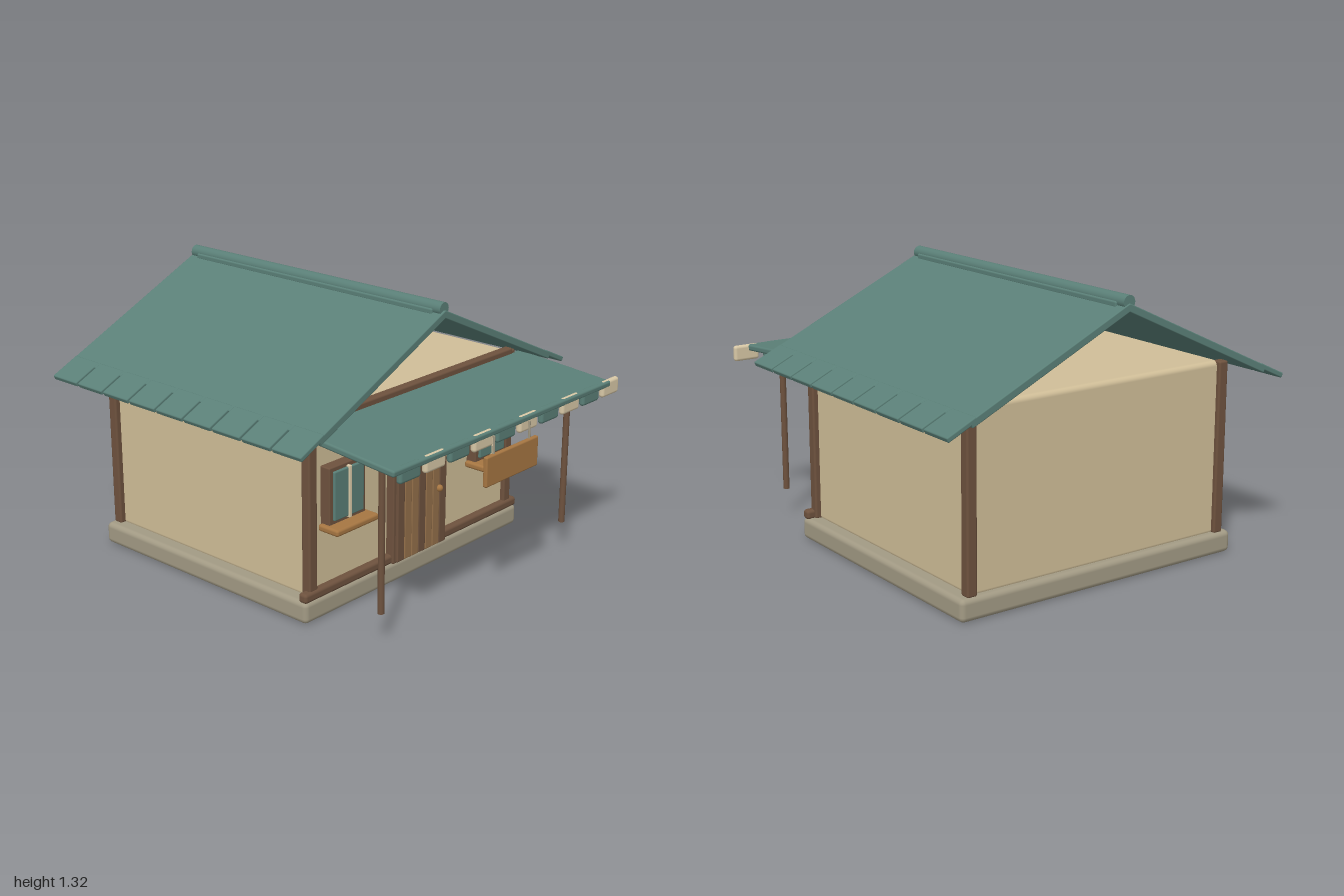
import * as THREE from 'three';
import { RoundedBoxGeometry } from 'three/addons/geometries/RoundedBoxGeometry.js';

const mat = (name, color) => {
  const m = new THREE.MeshStandardMaterial({ color });
  m.name = name;
  return m;
};

export function createModel() {
  const teal = mat('teal tile', 0x5a7f77);
  const plaster = mat('plaster', 0xd0be98);
  const cream = mat('cream cloth', 0xd8c8a6);
  const darkWood = mat('dark wood', 0x6e523e);
  const midWood = mat('plank wood', 0x94704a);
  const warmWood = mat('warm wood', 0xa67642);
  const stone = mat('stone', 0xa29a84);

  const model = new THREE.Group();
  model.name = 'house';

  const add = (name, geometry, material, x, y, z, parent = model) => {
    const mesh = new THREE.Mesh(geometry, material);
    mesh.name = name;
    mesh.position.set(x, y, z);
    parent.add(mesh);
    return mesh;
  };
  // Bevelled box given by its limits on each axis
  const box = (name, material, [x0, x1], [y0, y1], [z0, z1], r = 0.006, parent = model) =>
    add(name, new RoundedBoxGeometry(x1 - x0, y1 - y0, z1 - z0, 2, r), material,
      (x0 + x1) / 2, (y0 + y1) / 2, (z0 + z1) / 2, parent);

  // Base and walls
  box('foundation', stone, [-0.763, 0.763], [0, 0.105], [-0.86, 0.475], 0.025);
  box('walls', plaster, [-0.695, 0.695], [0.09, 0.92], [-0.825, 0.44], 0.025);

  // Timber frame
  for (const x of [-0.696, 0.696]) {
    for (const z of [-0.82, 0.437]) {
      box('cornerPost', darkWood, [x - 0.026, x + 0.026], [0.1, 0.92], [z - 0.025, z + 0.025], 0.01);
    }
    add('porchPost', new THREE.CylinderGeometry(0.015, 0.015, 0.72, 12), darkWood,
      Math.sign(x) * 0.66, 0.5, 0.815);
  }
  box('sillBeam', darkWood, [-0.76, 0.76], [0.098, 0.144], [0.425, 0.473], 0.015);
  box('topBeam', darkWood, [-0.698, 0.698], [0.885, 0.93], [0.42, 0.465], 0.01);

  // Door with seven planks, every third one dark
  const door = new THREE.Group();
  door.name = 'door';
  model.add(door);
  box('doorFrame', darkWood, [-0.192, 0.186], [0.1, 0.7], [0.43, 0.483], 0.006, door);
  for (let i = 0; i < 7; i++) {
    const x = -0.152 + i * 0.0497;
    box('doorPlank', i % 3 ? midWood : darkWood, [x - 0.024, x + 0.024],
      [0.108, 0.685], [0.465, 0.496], 0.005, door);
  }
  add('doorKnob', new THREE.SphereGeometry(0.017, 16, 12), warmWood, 0.115, 0.39, 0.499, door);

  // Windows
  for (const x of [-0.512, 0.508]) {
    const win = new THREE.Group();
    win.name = 'window';
    win.position.x = x;
    model.add(win);
    box('windowFrame', darkWood, [-0.116, 0.116], [0.425, 0.7], [0.43, 0.492], 0.006, win);
    box('windowPane', teal, [-0.095, 0.095], [0.452, 0.68], [0.48, 0.504], 0.006, win);
    box('windowBar', cream, [-0.008, 0.008], [0.445, 0.688], [0.49, 0.512], 0.004, win);
    box('windowSill', warmWood, [-0.136, 0.136], [0.404, 0.436], [0.44, 0.557], 0.012, win);
  }

  // Main roof: sloping slabs with a row of separate eave tiles on each side
  const tilt = Math.atan(0.465);
  for (const side of [-1, 1]) {
    const slope = new THREE.Group();
    slope.name = side > 0 ? 'leftRoofSlope' : 'rightRoofSlope';
    slope.position.set(0, 1.288, -0.195);
    slope.rotation.z = -side * tilt;
    model.add(slope);
    const span = (a, b) => (side > 0 ? [a, b] : [-b, -a]);
    box('roofSlab', teal, span(0, 0.895), [-0.034, 0], [-0.8, 0.8], 0.005, slope);
    for (let i = 0; i < 9; i++) {
      const z = (i - 4) * 0.179;
      box('eaveTile', teal, span(0.86, 1.017), [-0.022, 0.002], [z - 0.084, z + 0.084], 0.006, slope);
    }
  }
  const ridge = add('ridgeRoll', new THREE.CylinderGeometry(0.031, 0.031, 1.585, 20), teal, 0, 1.292, -0.197);
  ridge.rotation.x = Math.PI / 2;
  box('ridgeBase', teal, [-0.038, 0.038], [1.265, 1.293], [-0.945, 0.555], 0.008);

  // Porch awning
  const awning = box('awning', teal, [-0.777, 0.772], [-0.015, 0.015], [-0.265, 0.265], 0.01);
  awning.position.set(-0.002, 0.866, 0.712);
  awning.rotation.x = 0.083;

  // Hanging valance in alternating colours
  for (let i = 0; i < 10; i++) {
    const x = -0.665 + i * 0.1606;
    box('valanceTab', i % 2 ? cream : teal, [x - 0.066, x + 0.066], [0.785, 0.862], [0.944, 0.974], 0.014);
  }

  // Hanging board
  for (const x of [-0.13, 0.125]) {
    add('boardCord', new THREE.CylinderGeometry(0.005, 0.005, 0.1, 8), stone, x, 0.785, 0.984);
  }
  box('hangingBoard', warmWood, [-0.19, 0.182], [0.615, 0.755], [0.973, 0.996], 0.008);

  return model;
}
